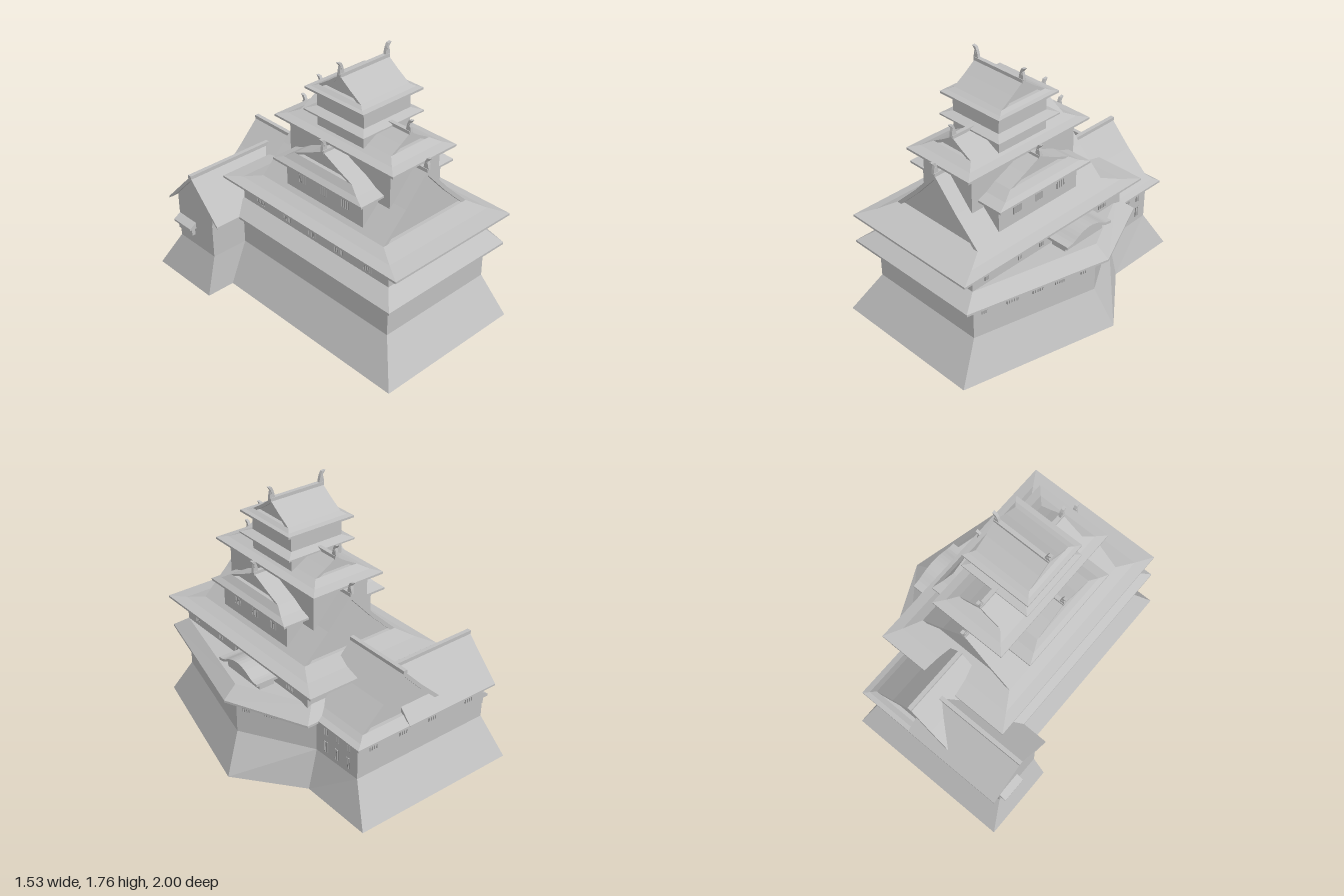
import * as THREE from 'three';

const plaster = new THREE.MeshStandardMaterial({ color: 0xbfbfbf });
plaster.name = 'light grey';
const shade = new THREE.MeshStandardMaterial({ color: 0x8c8c8c });
shade.name = 'window grey';

function add(parent, name, geo, mat = plaster) {
  const m = new THREE.Mesh(geo, mat);
  m.name = name;
  parent.add(m);
  return m;
}

// Solid through matching rings of [x, z] corners, each at its own height, capped at both ends
function loft(rings) {
  const pos = [];
  const pt = (r, i) => { const p = r.pts[i % r.pts.length]; return [p[0], r.y, p[1]]; };
  const tri = (a, b, c) => pos.push(...a, ...b, ...c);
  for (let k = 0; k < rings.length - 1; k++) {
    const a = rings[k], b = rings[k + 1];
    for (let i = 0; i < a.pts.length; i++) {
      tri(pt(a, i), pt(a, i + 1), pt(b, i + 1));
      tri(pt(a, i), pt(b, i + 1), pt(b, i));
    }
  }
  const cap = (r, up) => {
    const flat = r.pts.map(p => new THREE.Vector2(p[0], -p[1]));
    for (const [i, j, k] of THREE.ShapeUtils.triangulateShape(flat, [])) {
      if (up) tri(pt(r, i), pt(r, j), pt(r, k));
      else tri(pt(r, i), pt(r, k), pt(r, j));
    }
  };
  cap(rings[0], false);
  cap(rings[rings.length - 1], true);
  const g = new THREE.BufferGeometry();
  g.setAttribute('position', new THREE.Float32BufferAttribute(pos, 3));
  g.computeVertexNormals();
  return g;
}

const rect = (w, l) => [[w, l], [w, -l], [-w, -l], [-w, l]];

// Box given by its limits
function block(parent, name, x0, x1, y0, y1, z0, z1, mat) {
  const m = add(parent, name, new THREE.BoxGeometry(x1 - x0, y1 - y0, z1 - z0), mat);
  m.position.set((x0 + x1) / 2, (y0 + y1) / 2, (z0 + z1) / 2);
  return m;
}

// Outline extruded along z, centred
function prism(points, depth) {
  const s = new THREE.Shape(points.map(p => new THREE.Vector2(p[0], p[1])));
  const g = new THREE.ExtrudeGeometry(s, { depth, bevelEnabled: false });
  g.translate(0, 0, -depth / 2);
  return g;
}

// Fish-like ridge ornament, tail curling outward along +z
function finial(parent, y, z) {
  const g = new THREE.Group();
  g.name = 'ridgeFinial';
  add(g, 'finialBody', prism([[-0.02, -0.01], [0.02, -0.01], [0.016, 0.02], [0.01, 0.045],
    [0.03, 0.07], [0.004, 0.066], [-0.007, 0.045], [-0.014, 0.02]], 0.02)).rotation.y = -Math.PI / 2;
  add(g, 'finialTail', new THREE.BoxGeometry(0.026, 0.01, 0.012)).position.set(0, 0.03, 0.003);
  g.position.set(0, y, Math.abs(z));
  const pivot = new THREE.Group();
  pivot.name = 'finialMount';
  if (z < 0) pivot.rotation.y = Math.PI;
  pivot.add(g);
  parent.add(pivot);
}

// Hip-and-gable roof with its ridge along local z
function gableRoof(parent, name, o) {
  const g = new THREE.Group();
  g.name = name;
  const { ew, el, y0, gw, gl, yG, yR } = o;
  const mix = (a, b, t) => a + (b - a) * t;
  add(g, 'eaves', loft([
    { pts: rect(ew - 0.07, el - 0.07), y: y0 - 0.025 },
    { pts: rect(ew, el), y: y0 - 0.008 },
    { pts: rect(ew, el), y: y0 + 0.006 },
    { pts: rect(mix(ew, gw, 0.5), mix(el, gl, 0.5)), y: mix(y0, yG, 0.42) },
    { pts: rect(gw, gl), y: yG }]));
  const H = yR - yG, k = 1 - 0.035 / Math.min(gw, 0.35);
  const outer = [[-gw, yG], [gw, yG], [gw * 0.5, yG + H * 0.47], [0, yR], [-gw * 0.5, yG + H * 0.47]];
  const inner = outer.map(([x, y]) => [x * k, yG + (y - yG) * k]);
  // Roof shell overhangs the recessed gable wall
  add(g, 'roofSlopes', prism([outer[0], inner[0], inner[4], inner[3], inner[2], inner[1],
    outer[1], outer[2], outer[3], outer[4]], gl * 2));
  add(g, 'gableWall', prism(inner, gl * 2 - 0.05));
  block(g, 'ridge', -0.014, 0.014, yR - 0.012, yR + 0.012, -gl - 0.004, gl + 0.004);
  if (o.finials) for (const s of [1, -1]) finial(g, yR + 0.015, s * (gl - 0.012));
  g.position.set(o.x || 0, 0, o.z);
  if (o.alongX) g.rotation.y = Math.PI / 2;
  parent.add(g);
}

// Barred windows on the wall from p to q; each entry is [fraction along, width]
function windows(parent, p, q, y, h, list) {
  const dx = q[0] - p[0], dz = q[1] - p[1];
  for (const [t, w] of list) {
    const g = new THREE.Group();
    g.name = 'window';
    add(g, 'windowPane', new THREE.BoxGeometry(w, h, 0.006), shade);
    const n = Math.max(2, Math.round(w / 0.016));
    for (let i = 0; i < n; i++) {
      add(g, 'windowBar', new THREE.BoxGeometry(w / n * 0.5, h, 0.009))
        .position.set(-w / 2 + w * (i + 0.5) / n, 0, 0.002);
    }
    g.position.set(p[0] + dx * t, y, p[1] + dz * t);
    g.rotation.y = Math.atan2(-dz, dx);
    parent.add(g);
  }
}

export function createModel() {
  const root = new THREE.Group();
  root.name = 'castle';
  const Z = 0.187;

  // Battered stone base and first storey
  const ground = [[0.5, 1], [0.76, -0.07], [0.43, -0.48], [0.43, -1], [-0.77, -1], [-0.77, -0.47], [-0.57, -0.47], [-0.57, 1]];
  const wall = [[0.43, 0.84], [0.636, -0.01], [0.36, -0.47], [0.35, -0.845], [-0.69, -0.845], [-0.69, -0.49], [-0.43, -0.49], [-0.43, 0.84]];
  add(root, 'stoneBase', loft([{ pts: ground, y: 0 }, { pts: wall, y: 0.27 }]));
  add(root, 'firstStoreyWalls', loft([{ pts: wall, y: 0.27 }, { pts: wall, y: 0.55 }]));

  // Skirt roof around the first storey and its side bulge
  const eave = [[0.49, 0.945], [0.73, -0.02], [0.49, -0.55], [-0.53, -0.55], [-0.53, 0.945]];
  const under = [[0.43, 0.84], [0.636, -0.01], [0.4, -0.47], [-0.43, -0.47], [-0.43, 0.84]];
  add(root, 'lowerSkirtRoof', loft([{ pts: under, y: 0.52 }, { pts: eave, y: 0.535 },
    { pts: eave, y: 0.55 }, { pts: under, y: 0.628 }]));

  // Second storey and the great roof
  block(root, 'secondStorey', -0.43, 0.43, 0.55, 0.77, -0.47, 0.84);
  gableRoof(root, 'greatRoof', { z: Z, ew: 0.502, el: 0.777, y0: 0.765, gw: 0.36, gl: 0.54, yG: 0.82, yR: 1.19, finials: true });

  // Third storey with gables to both sides
  block(root, 'thirdStorey', -0.335, 0.335, 0.8, 1.04, -0.145, 0.53);
  gableRoof(root, 'sideGableRoof', { z: Z, alongX: true, ew: 0.39, el: 0.397, y0: 1.03, gw: 0.25, gl: 0.338, yG: 1.105, yR: 1.22, finials: true });

  // Fourth storey
  block(root, 'fourthStorey', -0.21, 0.21, 0.85, 1.24, -0.25, 0.625);
  gableRoof(root, 'fourthRoof', { z: Z, ew: 0.27, el: 0.513, y0: 1.238, gw: 0.16, gl: 0.39, yG: 1.285, yR: 1.38, finials: true });

  // Top tower with its skirt and roof
  block(root, 'topTower', -0.195, 0.195, 1.2, 1.53, Z - 0.2, Z + 0.2);
  const skirt = add(root, 'towerSkirtRoof', loft([{ pts: rect(0.2, 0.2), y: 1.355 },
    { pts: rect(0.255, 0.257), y: 1.37 }, { pts: rect(0.255, 0.257), y: 1.38 }, { pts: rect(0.195, 0.2), y: 1.4 }]));
  skirt.position.z = Z;
  gableRoof(root, 'topRoof', { z: Z, alongX: true, ew: 0.25, el: 0.25, y0: 1.525, gw: 0.18, gl: 0.2, yG: 1.552, yR: 1.675, finials: true });

  // Rear annex with a gable to the back and a wing to the model's right
  gableRoof(root, 'annexRoof', { x: 0.015, z: -0.62, ew: 0.395, el: 0.3, y0: 0.545, gw: 0.315, gl: 0.24, yG: 0.595, yR: 0.905 });
  const wing = new THREE.Group();
  wing.name = 'wing';
  wing.position.set(-0.35, 0, -0.665);
  wing.rotation.y = Math.PI / 2;
  root.add(wing);
  add(wing, 'wingRoof', prism([[-0.257, 0.55], [-0.257, 0.537], [-0.18, 0.6], [0, 0.785], [0.18, 0.6],
    [0.257, 0.537], [0.257, 0.55], [0, 0.815]], 0.72));
  add(wing, 'wingGable', prism([[-0.18, 0.52], [0.18, 0.52], [0.18, 0.605], [0, 0.79], [-0.18, 0.605]], 0.68));
  block(wing, 'wingRidge', -0.014, 0.014, 0.8, 0.825, -0.363, 0.363);

  // Small pent roof on the wing's end wall
  const pent = add(root, 'pentRoof', prism([[0.01, 0.405], [0.01, 0.455], [-0.05, 0.418], [-0.05, 0.405]].reverse(), 0.175));
  pent.position.set(-0.69, 0, -0.757);
  block(root, 'pentBay', -0.715, -0.68, 0.35, 0.41, -0.83, -0.685);

  // Arched dormer above the side bulge
  const top = new THREE.CatmullRomCurve3([[-0.2, 0.697], [-0.15, 0.705], [-0.08, 0.74], [0, 0.757],
    [0.08, 0.74], [0.15, 0.705], [0.2, 0.697]].map(p => new THREE.Vector3(p[0], p[1], 0))).getPoints(18).map(v => [v.x, v.y]);
  const low = top.map(([x, y]) => [x, y - 0.018]).reverse();
  const dormer = new THREE.Group();
  dormer.name = 'archedDormer';
  dormer.position.set(0.5, 0, 0.015);
  dormer.rotation.y = Math.PI / 2;
  root.add(dormer);
  add(dormer, 'archedRoof', prism([...top, ...low], 0.2));
  add(dormer, 'dormerWall', prism([[-0.17, 0.6], [0.17, 0.6], [0.17, 0.69], [0.08, 0.73], [0, 0.745], [-0.08, 0.73], [-0.17, 0.69]], 0.11));

  // Windows of the first storey, wall by wall
  const [A, B, C, D, E, F, G, I] = wall;
  windows(root, I, A, 0.47, 0.08, [[0.09, 0.04], [0.31, 0.075], [0.52, 0.08], [0.75, 0.075], [0.9, 0.04]]);
  windows(root, A, B, 0.47, 0.075, [[0.085, 0.04], [0.31, 0.085], [0.52, 0.085], [0.7, 0.075], [0.9, 0.045]]);
  windows(root, B, C, 0.47, 0.075, [[0.12, 0.05], [0.43, 0.085], [0.74, 0.09]]);
  for (const y of [0.47, 0.345]) windows(root, C, D, y, 0.075, [[0.24, 0.04], [0.51, 0.035], [0.78, 0.035]]);
  windows(root, D, E, 0.47, 0.07, [[0.12, 0.07], [0.35, 0.07], [0.58, 0.07], [0.88, 0.07]]);
  windows(root, G, I, 0.47, 0.075, [[0.2, 0.075], [0.36, 0.075], [0.52, 0.075], [0.68, 0.075], [0.84, 0.075]]);

  // Windows of the upper storeys
  windows(root, [-0.43, 0.84], [0.43, 0.84], 0.69, 0.08, [[0.2, 0.075], [0.42, 0.08], [0.63, 0.08], [0.82, 0.08]]);
  windows(root, [0.43, 0.84], [0.43, -0.47], 0.69, 0.075, [[0.09, 0.04], [0.3, 0.04], [0.44, 0.04], [0.867, 0.075]]);
  windows(root, [-0.43, -0.47], [-0.43, 0.84], 0.69, 0.075, [[0.13, 0.075], [0.32, 0.075], [0.5, 0.075], [0.68, 0.075], [0.87, 0.075]]);
  for (const s of [1, -1]) {
    windows(root, [s * 0.335, Z + s * 0.337], [s * 0.335, Z - s * 0.337], 0.95, 0.075, [[0.22, 0.07], [0.5, 0.07], [0.78, 0.07]]);
  }
  return root;
}
